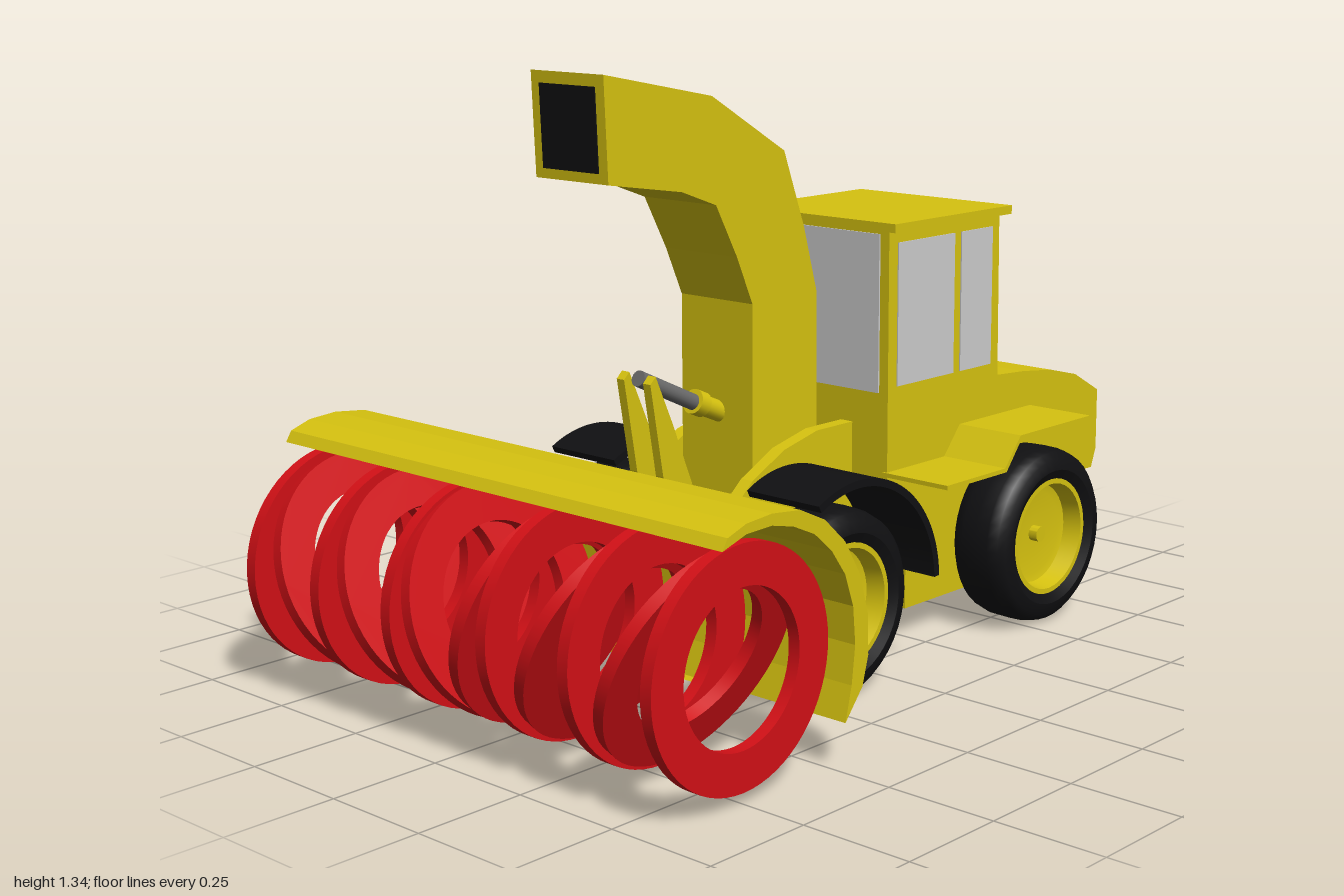
import * as THREE from 'three';
import { toCreasedNormals } from 'three/addons/utils/BufferGeometryUtils.js';

const mat = (color) => new THREE.MeshStandardMaterial({ color, side: THREE.DoubleSide });
const yellow = mat(0xd6c210), black = mat(0x101012), red = mat(0xd21016), grey = mat(0xcccccc), steel = mat(0x6a6a6a);

export function createModel() {
  const model = new THREE.Group();
  const add = (name, geo, material, parent = model) => {
    const mesh = new THREE.Mesh(geo, material);
    mesh.name = name;
    parent.add(mesh);
    return mesh;
  };
  const box = (name, material, w, h, d, x, y, z) =>
    add(name, new THREE.BoxGeometry(w, h, d), material).position.set(x, y, z);
  // Extrudes a side outline of [z, y] points across x, centred on cx
  const slab = (shape, width, cx = 0) => {
    const s = Array.isArray(shape) ? new THREE.Shape(shape.map(([z, y]) => new THREE.Vector2(z, y))) : shape;
    return new THREE.ExtrudeGeometry(s, { depth: width, bevelEnabled: false, curveSegments: 32 })
      .rotateY(-Math.PI / 2).translate(cx + width / 2, 0, 0);
  };
  // Cylinder between two [z, y] points in the centre plane
  const rod = (name, material, radius, a, b) => {
    const p = new THREE.Vector3(0, a[1], a[0]), q = new THREE.Vector3(0, b[1], b[0]);
    const mesh = add(name, new THREE.CylinderGeometry(radius, radius, p.distanceTo(q), 20), material);
    mesh.position.copy(p).add(q).multiplyScalar(0.5);
    mesh.quaternion.setFromUnitVectors(new THREE.Vector3(0, 1, 0), q.sub(p).normalize());
  };

  // Rear half: cab, hood and belly
  add('cabAndHood', slab([
    [-0.165, 0.305], [-0.235, 0.305], [-0.78, 0.275], [-0.98, 0.273], [-0.998, 0.32], [-0.998, 0.47],
    [-0.9, 0.524], [-0.795, 0.551], [-0.68, 0.565], [-0.576, 0.572], [-0.572, 0.96], [-0.165, 0.96],
  ], 0.4), yellow);
  box('cabRoof', yellow, 0.456, 0.02, 0.43, 0, 0.968, -0.367);
  add('belly', slab([[-0.235, 0.075], [-0.6, 0.075], [-0.62, 0.3], [-0.235, 0.31]], 0.4), yellow);
  box('frontWindow', grey, 0.35, 0.36, 0.006, 0, 0.77, -0.164);
  box('rearWindow', grey, 0.35, 0.34, 0.006, 0, 0.77, -0.575);
  for (const s of [-1, 1]) {
    box('sideWindowFront', grey, 0.006, 0.326, 0.205, s * 0.2, 0.767, -0.298);
    box('sideWindowRear', grey, 0.006, 0.326, 0.118, s * 0.2, 0.767, -0.485);
    // Stepped rear fender plate
    add('rearFender', slab([
      [-0.16, 0.4], [-0.38, 0.4], [-0.435, 0.467], [-0.71, 0.467],
      [-0.71, 0.477], [-0.432, 0.477], [-0.375, 0.41], [-0.16, 0.41],
    ], 0.185, s * 0.2825), yellow);
  }

  // Discharge chute with dark mouth
  add('chute', slab([
    [0.18, 0.3], [0.18, 0.829], [0.228, 0.936], [0.292, 1.053], [0.394, 1.09], [0.603, 1.123],
    [0.613, 1.342], [0.303, 1.281], [0.078, 1.15], [0.013, 0.979], [-0.03, 0.829], [-0.033, 0.3],
  ], 0.21), yellow);
  add('chuteMouth', slab([[0.6, 1.144], [0.6, 1.317], [0.615, 1.317], [0.607, 1.144]], 0.16), black);

  // Front half: frame plates, fins, steering and lift cylinder
  box('frontFrame', yellow, 0.254, 0.2, 0.24, 0, 0.3, 0.1);
  for (const s of [-1, 1]) {
    add('framePlate', slab([
      [0.43, 0.06], [0.3, 0.12], [0.15, 0.16], [-0.02, 0.27], [-0.09, 0.3], [-0.09, 0.535],
      [0.03, 0.535], [0.14, 0.51], [0.24, 0.46], [0.3, 0.41], [0.34, 0.3], [0.3, 0.18],
    ], 0.033, s * 0.143), yellow);
    add('liftFin', slab([
      [0.42, 0.7], [0.436, 0.685], [0.4, 0.48], [0.355, 0.31], [0.22, 0.25], [0.22, 0.38], [0.3, 0.42], [0.37, 0.59],
    ], 0.022, s * 0.039), yellow);
  }
  rod('cylinderRod', steel, 0.018, [0.422, 0.69], [0.24, 0.605]);
  rod('cylinderBarrel', yellow, 0.023, [0.252, 0.612], [-0.17, 0.432]);
  rod('cylinderCollar', yellow, 0.028, [0.256, 0.614], [0.228, 0.602]);

  // Wheels
  const lathe = (points) => toCreasedNormals(
    new THREE.LatheGeometry(points.map(([r, y]) => new THREE.Vector2(r, y)), 40), 0.6);
  const tireGeo = lathe([
    [0.138, -0.066], [0.16, -0.0775], [0.185, -0.073], [0.2, -0.06], [0.207, -0.035], [0.208, 0],
    [0.207, 0.035], [0.2, 0.06], [0.185, 0.073], [0.16, 0.0775], [0.138, 0.066],
  ]);
  const rimGeo = lathe([
    [0, -0.05], [0.139, -0.05], [0.139, 0.066], [0.126, 0.066], [0.118, 0.022], [0.1, 0.018],
    [0.018, 0.018], [0.018, 0.04], [0, 0.04],
  ]);
  for (const z of [0.174, -0.565]) {
    add('axle', new THREE.CylinderGeometry(0.04, 0.04, 0.54, 16).rotateZ(Math.PI / 2), yellow).position.set(0, 0.21, z);
    for (const s of [-1, 1]) {
      const wheel = new THREE.Group();
      wheel.name = z > 0 ? 'frontWheel' : 'rearWheel';
      wheel.position.set(s * 0.303, 0.21, z);
      wheel.rotation.z = -s * Math.PI / 2;
      add('tire', tireGeo, black, wheel);
      add('rim', rimGeo, yellow, wheel);
      model.add(wheel);
    }
  }

  // Curved front fenders
  const fenderShape = new THREE.Shape();
  const a0 = 1.09, a1 = Math.PI - 0.04;
  fenderShape.absarc(0.174, 0.213, 0.277, a0, a1, false);
  fenderShape.absarc(0.174, 0.213, 0.26, a1, a0, true);
  for (const s of [-1, 1]) add('frontFender', toCreasedNormals(slab(fenderShape, 0.2, s * 0.3), 0.5), black);

  // Crescent-section blade shell
  add('bladeShell', slab([
    [0.854, 0.527], [0.84, 0.55], [0.79, 0.567], [0.72, 0.572], [0.64, 0.563], [0.57, 0.53], [0.51, 0.475],
    [0.465, 0.4], [0.44, 0.315], [0.438, 0.23], [0.455, 0.17], [0.506, 0.108],
    [0.488, 0.18], [0.478, 0.26], [0.485, 0.34], [0.51, 0.41], [0.55, 0.465], [0.6, 0.508],
    [0.66, 0.535], [0.72, 0.549], [0.79, 0.547],
  ], 1.29), yellow);

  // Auger: upright rings joined by tilted ones, mirrored about the middle
  const ringShape = new THREE.Shape().absarc(0, 0, 0.244, 0, Math.PI * 2, false);
  ringShape.holes.push(new THREE.Path().absarc(0, 0, 0.16, 0, Math.PI * 2, true));
  const ringGeo = toCreasedNormals(slab(ringShape, 0.028), 0.5);
  const auger = new THREE.Group();
  auger.name = 'auger';
  auger.position.set(0, 0.271, 0.755);
  for (const s of [-1, 1]) {
    for (const [x, tilt] of [[0.59, 0], [0.372, 0], [0.143, 0], [0.482, 0.385], [0.267, 0.405], [0.07, 0.285]]) {
      const ring = add(tilt ? 'tiltedRing' : 'uprightRing', ringGeo, red, auger);
      ring.position.x = s * x;
      ring.rotation.z = -s * tilt;
    }
  }
  model.add(auger);
  return model;
}
